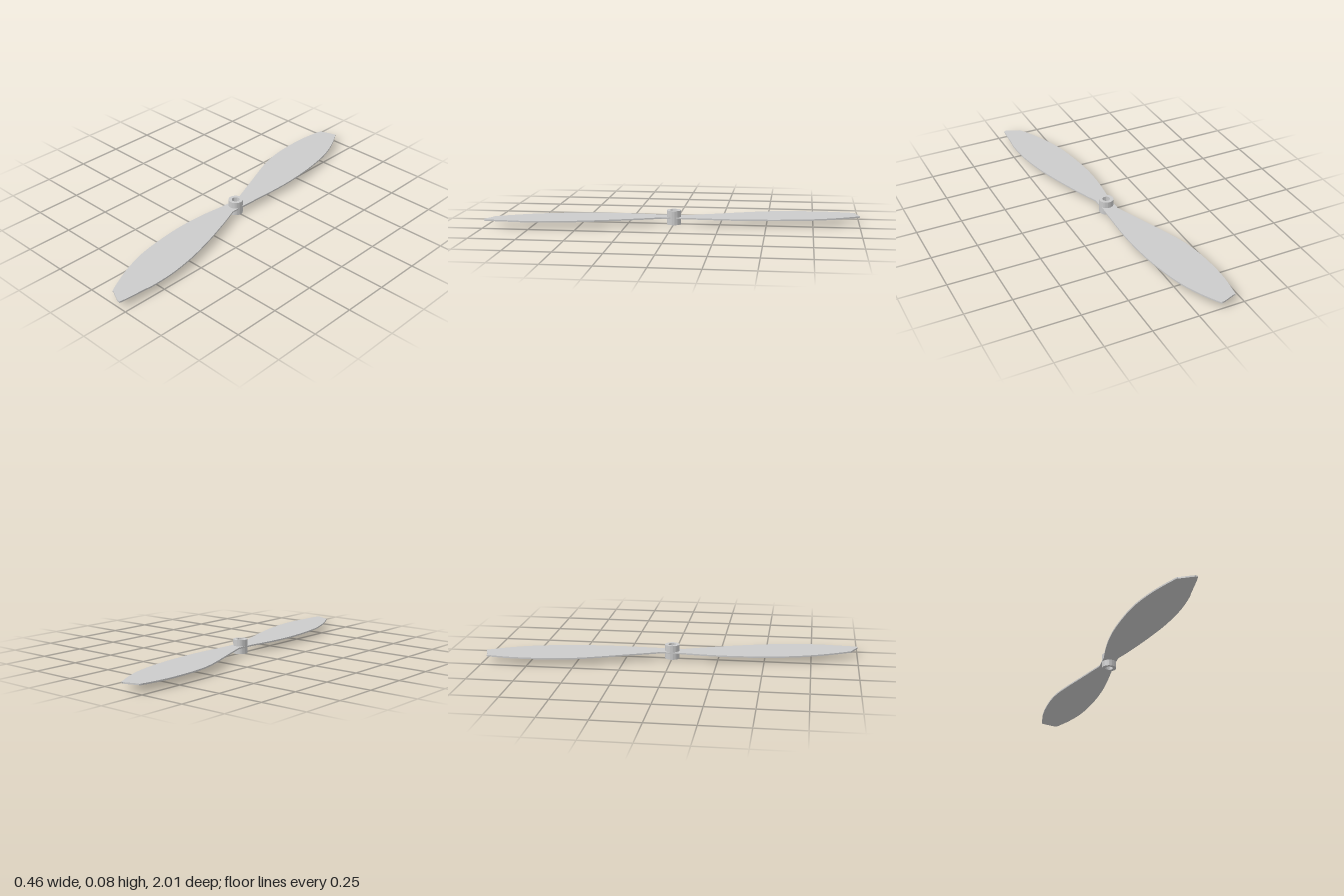
import * as THREE from 'three';
import { toCreasedNormals } from 'three/addons/utils/BufferGeometryUtils.js';

const HUB_X = 0.006, HUB_R = 0.039, BORE_R = 0.021, HUB_H = 0.077;
const BLADE_Y = 0.034, BLADE_T = 0.008;

export function createModel() {
  const model = new THREE.Group();
  model.name = 'propeller';
  const material = new THREE.MeshStandardMaterial({ color: 0xcccccc });

  // Blade outline as [x, z]; smooth edges joined by straight cuts at tips and root
  const edges = [
    // rear blade, right edge from root to tip
    [[0.042, -0.05], [0.045, -0.13], [0.05, -0.315], [0.042, -0.474], [0.024, -0.616],
      [-0.008, -0.765], [-0.056, -0.89], [-0.114, -0.995], [-0.125, -1], [-0.14, -0.998]],
    // rear blade, left edge from tip to root
    [[-0.207, -0.974], [-0.214, -0.966], [-0.23, -0.844], [-0.231, -0.722], [-0.22, -0.59],
      [-0.198, -0.484], [-0.161, -0.378], [-0.108, -0.246], [-0.066, -0.14], [-0.034, -0.06]],
    // front blade, left edge from root to tip
    [[-0.034, 0.05], [-0.05, 0.198], [-0.053, 0.347], [-0.04, 0.495], [-0.013, 0.653],
      [0.029, 0.781], [0.072, 0.876], [0.118, 0.96], [0.126, 0.967]],
    // front blade, right edge from tip to root
    [[0.192, 0.998], [0.205, 1], [0.215, 0.985], [0.225, 0.849], [0.229, 0.8], [0.222, 0.664],
      [0.193, 0.505], [0.151, 0.357], [0.108, 0.23], [0.071, 0.13], [0.042, 0.06]],
  ];
  const shape = new THREE.Shape();
  edges.forEach((edge, i) => {
    const pts = edge.map(([x, z]) => new THREE.Vector2(x, -z));
    if (i === 0) shape.moveTo(pts[0].x, pts[0].y);
    else shape.lineTo(pts[0].x, pts[0].y);
    shape.splineThru(pts.slice(1));
  });
  shape.closePath();
  shape.holes.push(new THREE.Path().absarc(HUB_X, 0, BORE_R, 0, Math.PI * 2, true));

  const bladeGeometry = new THREE.ExtrudeGeometry(shape, {
    depth: BLADE_T, bevelEnabled: false, curveSegments: 6,
  });
  bladeGeometry.rotateX(-Math.PI / 2);
  const blades = new THREE.Mesh(toCreasedNormals(bladeGeometry, 0.5), material);
  blades.name = 'blades';
  blades.position.y = BLADE_Y;
  model.add(blades);

  // Hub: sleeve with a through bore
  const profile = [[BORE_R, 0], [HUB_R, 0], [HUB_R, HUB_H], [BORE_R, HUB_H], [BORE_R, 0]]
    .map(([r, y]) => new THREE.Vector2(r, y));
  const hub = new THREE.Mesh(toCreasedNormals(new THREE.LatheGeometry(profile, 48), 0.6), material);
  hub.name = 'hub';
  hub.position.x = HUB_X;
  model.add(hub);

  return model;
}
